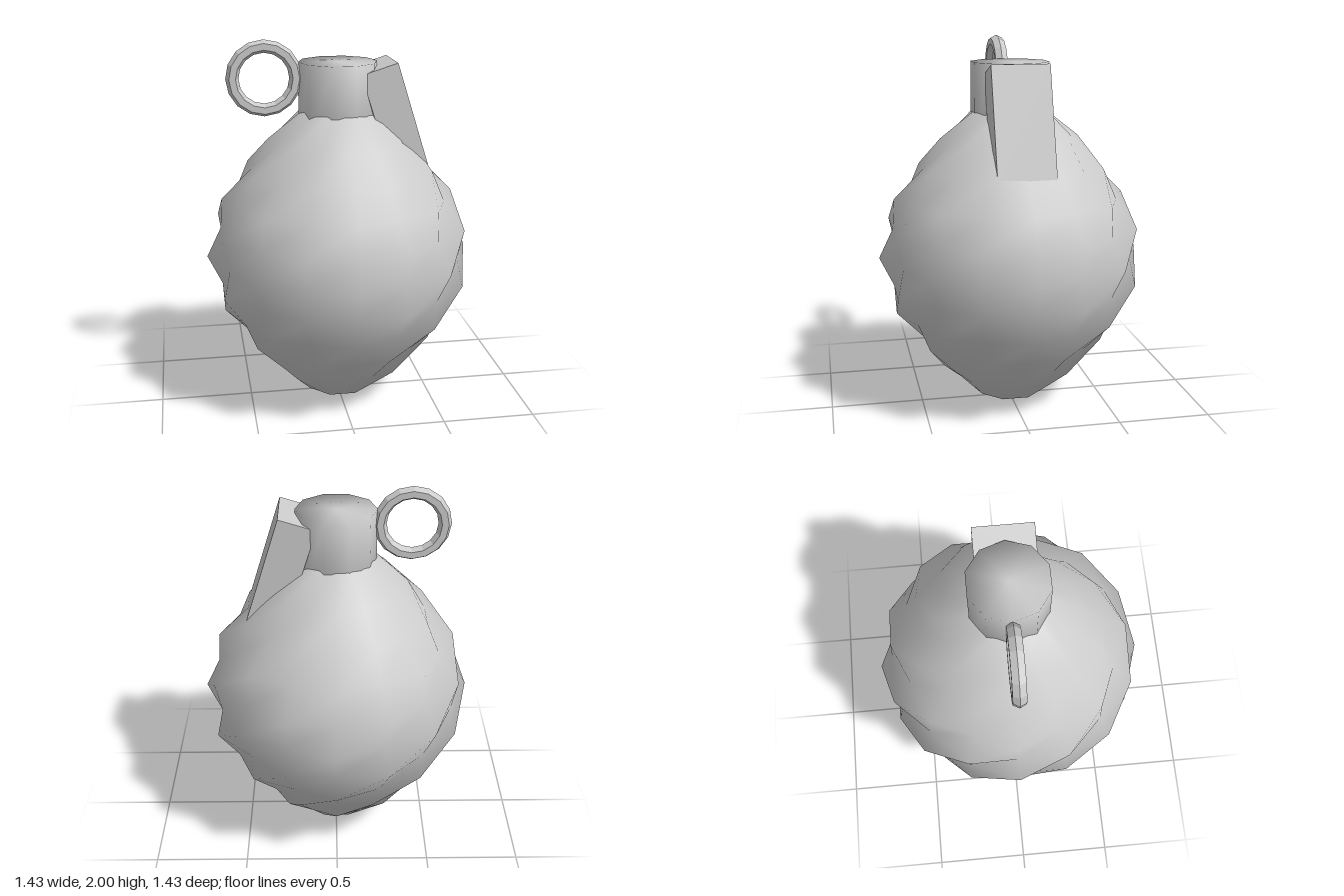
import * as THREE from 'three';
import { mergeVertices } from 'three/addons/utils/BufferGeometryUtils.js';

const COLS = 16;
const DENT = 0.92; // radius factor of the lowered knobs
const RADII = [0.717, 0.695, 0.63, 0.51, 0.376, 0.186]; // from the equator to a pole

function part(name, geometry, flatShading = false) {
  const material = new THREE.MeshStandardMaterial({ color: 0xcccccc, flatShading });
  const mesh = new THREE.Mesh(geometry, material);
  mesh.name = name;
  return mesh;
}

// Rings with raised and lowered corners in a checkerboard, joined along spiral ridges
function bodyGeometry() {
  const pos = [0, 0, 0];
  const index = [];
  for (let k = -5; k <= 5; k++) {
    for (let c = 0; c < COLS; c++) {
      const raised = Math.abs(k + c) % 2 === 0;
      const r = RADII[Math.abs(k)] * (raised ? 1 : DENT);
      const a = (c / COLS) * Math.PI * 2;
      pos.push(r * Math.sin(a), 0.84 + 0.16 * k, r * Math.cos(a));
    }
  }
  const top = pos.length / 3;
  pos.push(0, 1.68, 0);
  const at = (row, c) => 1 + row * COLS + (c % COLS);
  for (let c = 0; c < COLS; c++) {
    index.push(0, at(0, c + 1), at(0, c));
    for (let row = 0; row < 10; row++) {
      const p = at(row, c), q = at(row, c + 1), s = at(row + 1, c + 1), t = at(row + 1, c);
      index.push(p, q, s, p, s, t);
    }
    index.push(top, at(10, c), at(10, c + 1));
  }
  const g = new THREE.BufferGeometry();
  g.setAttribute('position', new THREE.Float32BufferAttribute(pos, 3));
  g.setIndex(index);
  g.computeVertexNormals();
  return g;
}

// Ten-sided neck, shaded smoothly over its rim
function neckGeometry() {
  const g = new THREE.CylinderGeometry(0.21, 0.21, 0.4, 10, 1, false, Math.PI / 2);
  g.deleteAttribute('normal');
  g.deleteAttribute('uv');
  const welded = mergeVertices(g, 1e-4);
  welded.computeVertexNormals();
  return welded;
}

export function createModel() {
  const model = new THREE.Group();
  model.name = 'grenade';

  model.add(part('body', bodyGeometry()));

  const neck = part('neck', neckGeometry());
  neck.position.y = 1.68;
  model.add(neck);

  // Slanted lever, hung from its upper outer corner
  const length = 0.6, thickness = 0.2;
  const leverBox = new THREE.BoxGeometry(thickness, length, 0.305);
  leverBox.translate(-thickness / 2, -length / 2, 0);
  const lever = part('lever', leverBox, true);
  lever.position.set(0.29, 1.885, 0);
  lever.rotation.z = 0.305;
  model.add(lever);

  // Pull ring
  const ring = part('pullRing', new THREE.TorusGeometry(0.166, 0.034, 6, 16), true);
  ring.position.set(-0.388, 1.8, 0);
  ring.scale.z = 1.12;
  model.add(ring);

  return model;
}
